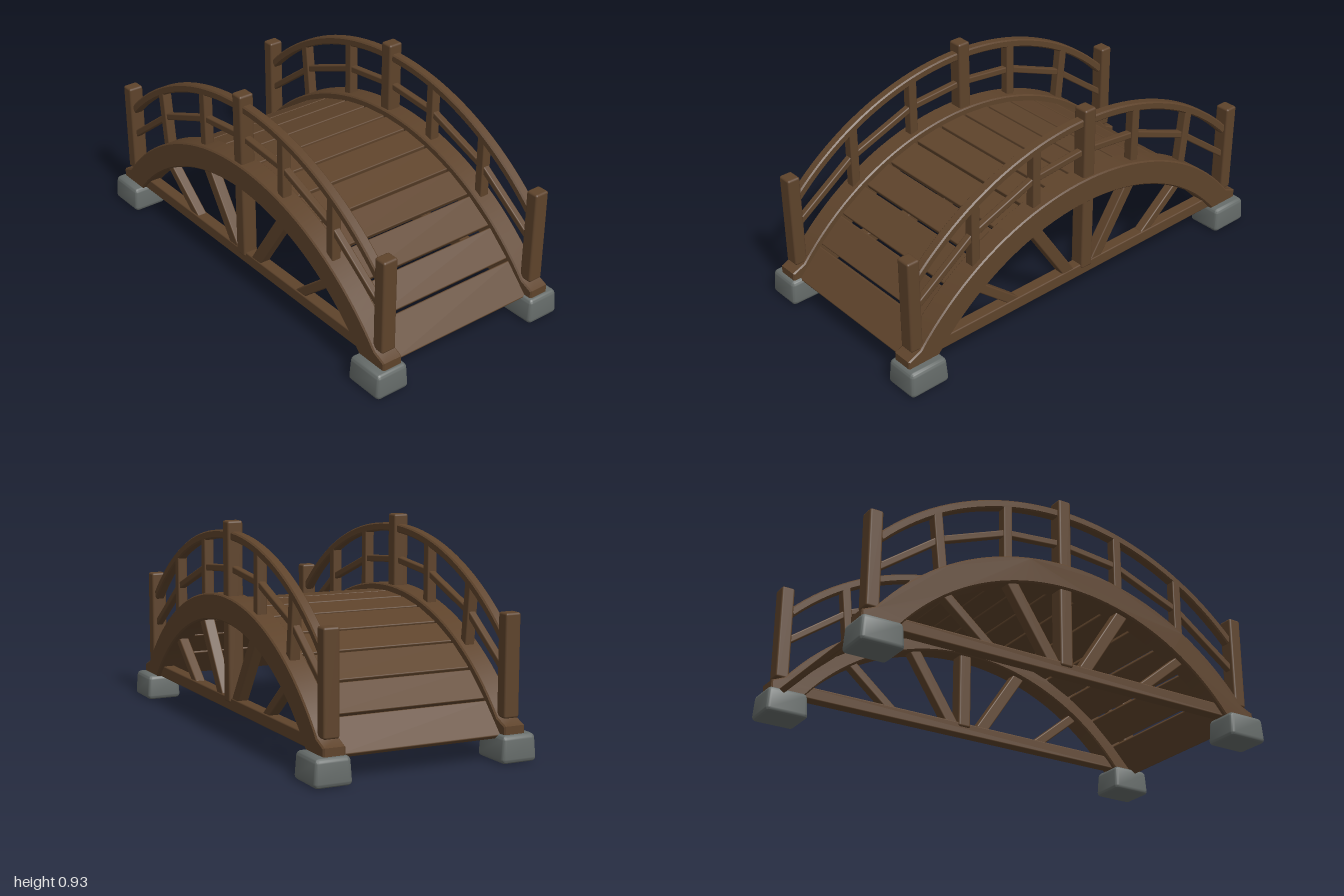
import * as THREE from 'three';
import { toCreasedNormals } from 'three/addons/utils/BufferGeometryUtils.js';
import { RoundedBoxGeometry } from 'three/addons/geometries/RoundedBoxGeometry.js';

const wood = new THREE.MeshStandardMaterial({ color: 0x5e432b });
wood.name = 'brownWood';
const stone = new THREE.MeshStandardMaterial({ color: 0x656b69 });
stone.name = 'greyStone';

const CY = -0.571; // height of the arch centre
const SIDE_X = 0.405; // middle plane of each side frame
const arcY = (r, z, cy = CY) => cy + Math.sqrt(r * r - z * z);

function add(parent, name, geometry, material = wood) {
  const mesh = new THREE.Mesh(geometry, material);
  mesh.name = name;
  parent.add(mesh);
  return mesh;
}

// Points along an arc, given as (z, y)
function arc(r, cy, from, to, steps = 40) {
  return Array.from({ length: steps + 1 }, (_, i) => {
    const a = THREE.MathUtils.lerp(from, to, i / steps);
    return new THREE.Vector2(r * Math.sin(a), cy + r * Math.cos(a));
  });
}

// Side profile (z, y) extruded across x, with a small bevel
function profile(points, width) {
  const bevel = 0.006;
  const geo = new THREE.ExtrudeGeometry(new THREE.Shape(points), {
    depth: width - 2 * bevel, bevelThickness: bevel, bevelSize: bevel, bevelOffset: -bevel, bevelSegments: 1,
  });
  geo.translate(0, 0, bevel - width / 2).rotateY(-Math.PI / 2);
  return toCreasedNormals(geo, 0.5);
}

// Straight timber between two (z, y) points
function timber(parent, name, [z0, y0], [z1, y1], thick, width, radius = 0.006) {
  const length = Math.hypot(z1 - z0, y1 - y0);
  const mesh = add(parent, name, new RoundedBoxGeometry(width, length, thick, 2, radius));
  mesh.position.set(0, (y0 + y1) / 2, (z0 + z1) / 2);
  mesh.rotation.x = Math.atan2(z1 - z0, y1 - y0);
  return mesh;
}

function sideFrame() {
  const side = new THREE.Group();

  // Main arch with squared feet
  const inner = 1.066, outer = 1.181;
  const aOut = Math.asin(0.915 / outer), aIn = Math.asin(0.82 / inner);
  const archPoints = [
    ...arc(outer, CY, -aOut, aOut),
    new THREE.Vector2(0.975, 0.15), new THREE.Vector2(0.975, 0.108),
    ...arc(inner, CY, aIn, -aIn),
    new THREE.Vector2(-0.975, 0.108), new THREE.Vector2(-0.975, 0.15),
  ];
  add(side, 'arch', profile(archPoints, 0.096));

  // Curved handrail
  const railR = 1.28, railCY = 0.885 - railR, aRail = Math.asin(0.91 / railR);
  const railPoints = [
    ...arc(railR, railCY, -aRail, aRail),
    ...arc(railR - 0.037, railCY, aRail, -aRail),
  ];
  add(side, 'handrail', profile(railPoints, 0.045));

  // Lower rail in straight lengths
  const mid = [[-0.91, 0.355], [-0.62, 0.57], [-0.3, 0.695], [-0.02, 0.725], [0.27, 0.7], [0.6, 0.575], [0.91, 0.355]];
  for (let i = 1; i < mid.length; i++) timber(side, 'lowerRail', mid[i - 1], mid[i], 0.03, 0.032);

  // Main posts
  timber(side, 'centrePost', [-0.018, 0.145], [-0.018, 0.93], 0.062, 0.07, 0.01);
  for (const z of [-0.922, 0.92]) timber(side, 'endPost', [z, 0.175], [z, 0.604], 0.06, 0.07, 0.01);

  // Balusters between arch and handrail
  for (const [zBottom, zTop] of [[-0.608, -0.64], [-0.3, -0.302], [0.268, 0.268], [0.596, 0.596]]) {
    timber(side, 'baluster', [zBottom, arcY(outer - 0.04, zBottom)], [zTop, arcY(railR - 0.02, zTop, railCY)], 0.042, 0.045);
  }

  // Bottom tie beam and diagonal braces
  timber(side, 'tieBeam', [-0.89, 0.138], [0.89, 0.138], 0.056, 0.055);
  for (const s of [-1, 1]) {
    timber(side, 'outerBrace', [s * 0.63, 0.355], [s * 0.38, 0.148], 0.042, 0.045);
    timber(side, 'innerBrace', [s * 0.3, 0.49], [s * 0.075, 0.15], 0.055, 0.05);
  }
  return side;
}

function footing() {
  const geo = new RoundedBoxGeometry(0.165, 0.116, 0.195, 3, 0.02);
  const p = geo.attributes.position;
  // Taper toward the top
  for (let i = 0; i < p.count; i++) {
    const k = 1 - 0.08 * (p.getY(i) / 0.116 + 0.5);
    p.setX(i, p.getX(i) * k);
    p.setZ(i, p.getZ(i) * k);
  }
  geo.computeVertexNormals();
  return toCreasedNormals(geo, 0.9);
}

export function createModel() {
  const bridge = new THREE.Group();
  bridge.name = 'archedFootbridge';

  for (const s of [-1, 1]) {
    const side = sideFrame();
    side.name = s > 0 ? 'leftSide' : 'rightSide';
    side.position.x = s * SIDE_X;
    bridge.add(side);
    for (const e of [-1, 1]) {
      add(bridge, 'footing', footing(), stone).position.set(s * 0.4175, 0.058, e * 0.9025);
    }
  }

  // Deck boards laid along the arch, with narrow gaps
  const joints = [0, 0.14, 0.28, 0.43, 0.563, 0.7, 0.82, 0.943];
  const deckR = 1.147, thick = 0.026, gap = 0.011;
  for (const s of [-1, 1]) {
    for (let i = 1; i < joints.length; i++) {
      const z0 = joints[i - 1], z1 = joints[i];
      const y0 = arcY(deckR, z0), y1 = Math.max(arcY(deckR, z1), 0.102);
      const length = Math.hypot(z1 - z0, y1 - y0) - gap;
      const angle = Math.atan2(y0 - y1, z1 - z0);
      const board = add(bridge, 'deckBoard', new RoundedBoxGeometry(0.73, thick, length, 2, 0.005));
      board.position.set(
        0,
        (y0 + y1) / 2 - Math.cos(angle) * (thick / 2 - 0.006),
        s * ((z0 + z1) / 2 - Math.sin(angle) * (thick / 2 - 0.006)),
      );
      board.rotation.x = s * angle;
    }
  }
  return bridge;
}
